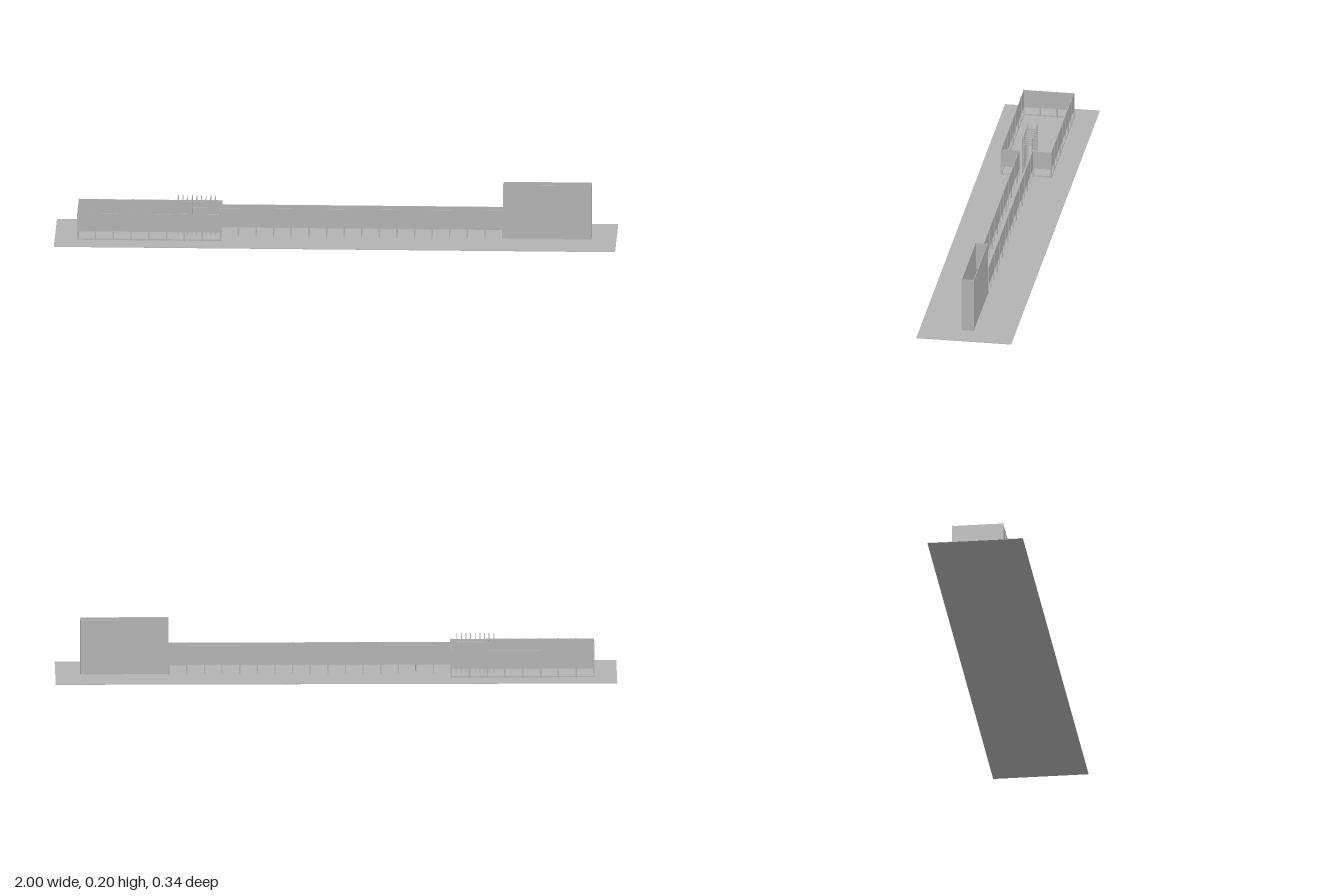
import * as THREE from 'three';

export function createModel() {
  const model = new THREE.Group();
  const grey = new THREE.MeshStandardMaterial({ color: 0xb3b3b3 });
  grey.name = 'grey';

  const group = (name) => {
    const g = new THREE.Group();
    g.name = name;
    model.add(g);
    return g;
  };
  // Box given by its minimum and maximum corners
  const box = (parent, name, x0, x1, y0, y1, z0, z1) => {
    const mesh = new THREE.Mesh(new THREE.BoxGeometry(x1 - x0, y1 - y0, z1 - z0), grey);
    mesh.position.set((x0 + x1) / 2, (y0 + y1) / 2, (z0 + z1) / 2);
    mesh.name = name;
    parent.add(mesh);
  };
  const post = (parent, x, z, top, r = 0.0025) =>
    box(parent, 'post', x - r, x + r, 0, top, z - r, z + r);

  // Ground slab
  box(model, 'ground', -1, 1, 0, 0.002, -0.171, 0.171);

  // Rectangular pen with raised panels, posts and bottom rails
  const pen = group('pen');
  const L = -0.918, R = -0.41, W = 0.09, gap = 0.028, H = 0.101;
  for (const s of [-1, 1]) {
    const z = s * W;
    box(pen, 'sidePanel', L, R, 0.035, H, z - 0.001, z + 0.001);
    box(pen, 'sideRail', L, R, 0.004, 0.009, z - 0.002, z + 0.002);
    for (let i = 0; i <= 8; i++) post(pen, L + (R - L) * i / 8, z, H + 0.001);
    // End wall beside the chute mouth
    const z0 = s > 0 ? gap : -W, z1 = s > 0 ? W : -gap;
    box(pen, 'innerEndPanel', R - 0.001, R + 0.001, 0.035, H, z0, z1);
    box(pen, 'innerEndRail', R - 0.002, R + 0.002, 0.004, 0.009, z0, z1);
    post(pen, R, s * gap, 0.105);
    post(pen, L, s * 0.03, H + 0.001);
  }
  box(pen, 'outerEndPanel', L - 0.001, L + 0.001, 0.035, H, -W, W);
  box(pen, 'outerEndRail', L - 0.002, L + 0.002, 0.004, 0.009, -W, W);

  // Long narrow chute
  const chute = group('chute');
  for (const s of [-1, 1]) {
    const z = s * 0.024;
    box(chute, 'chutePanel', R, 0.597, 0.035, 0.106, z - 0.001, z + 0.001);
    for (let i = 0; i <= 16; i++) post(chute, R + 1.004 * i / 16, z, 0.106, 0.002);
  }

  // Tall open-topped box at the end of the chute
  const tall = group('tallBox');
  for (const s of [-1, 1]) {
    const z = s * 0.0215;
    box(tall, 'tallSide', 0.596, 0.91, 0, 0.2, z - 0.001, z + 0.001);
  }
  box(tall, 'tallOuterEnd', 0.908, 0.911, 0, 0.2, -0.0215, 0.0215);
  box(tall, 'tallInnerEnd', 0.596, 0.598, 0.1, 0.2, -0.0215, 0.0215);

  // Row of upright frames standing in the pen
  const frames = group('uprightFrames');
  for (let i = 0; i < 9; i++) {
    const x = -0.562 + i * 0.0165;
    for (const s of [-1, 1]) post(frames, x, s * 0.017, 0.14, 0.0015);
    box(frames, 'crossbar', x - 0.0015, x + 0.0015, 0.115, 0.119, -0.017, 0.017);
  }
  for (const s of [-1, 1]) for (const y of [0.03, 0.07, 0.105, 0.117])
    box(frames, 'frameRail', -0.565, -0.428, y - 0.0015, y + 0.0015, s * 0.017 - 0.001, s * 0.017 + 0.001);

  return model;
}
